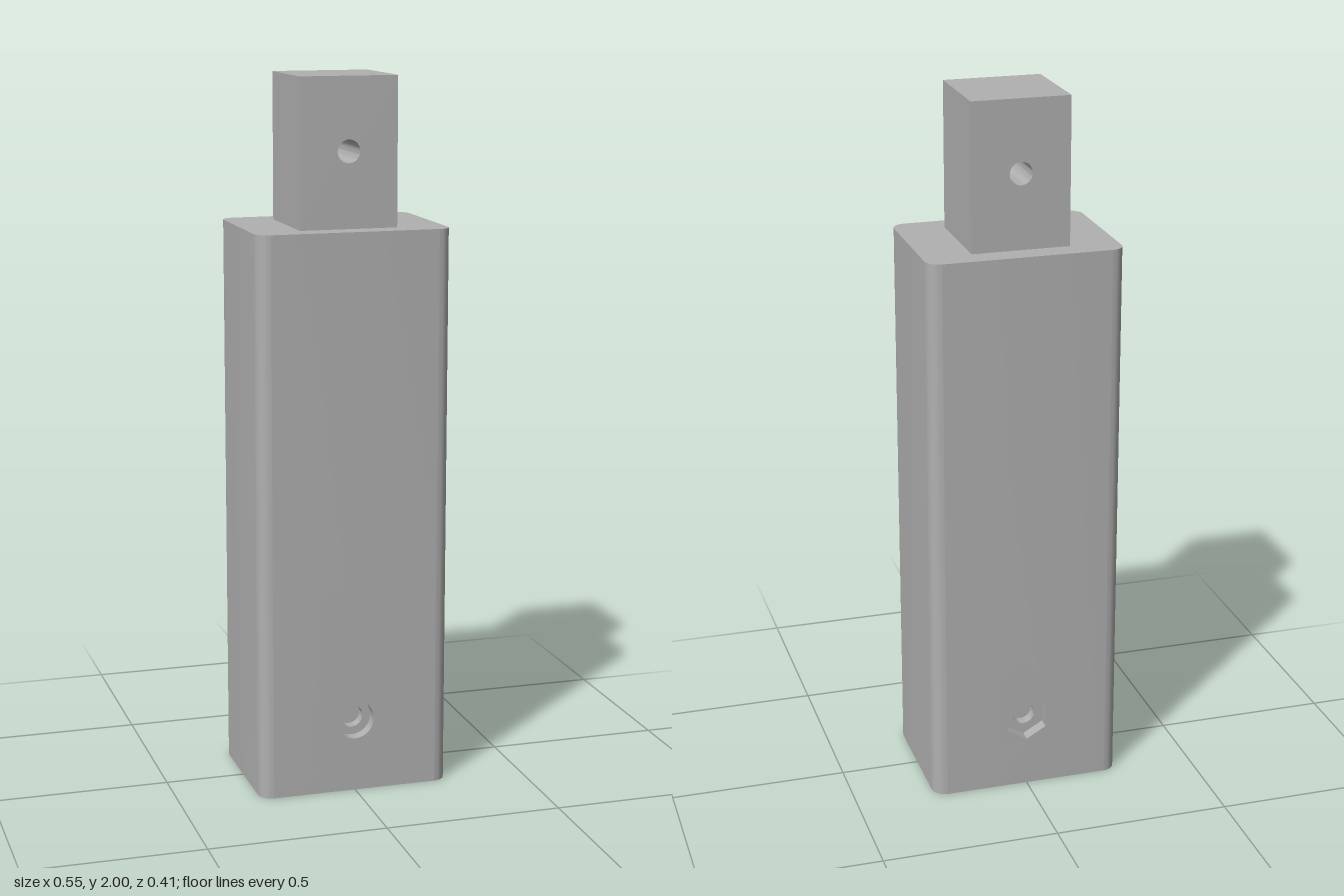
import * as THREE from 'three';
import { mergeGeometries, toCreasedNormals } from 'three/addons/utils/BufferGeometryUtils.js';

const HX = 0.275, HZ = 0.206, R = 0.04; // body half sizes and corner radius
const BODY_TOP = 1.588, TOP = 2;
const PEG = 0.138, SOCKET = 0.14, SOCKET_DEPTH = 0.42;
const BORE = 0.032, LOW_HOLE = 0.208, HIGH_HOLE = 1.798;

const vec = (x, y) => new THREE.Vector2(x, y);

// Regular polygon with a corner at the top; many sides give a circle
function ring(radius, sides, cy) {
  return Array.from({ length: sides }, (_, i) => {
    const a = Math.PI / 2 + (i / sides) * Math.PI * 2;
    return vec(radius * Math.cos(a), cy + radius * Math.sin(a));
  });
}

const rect = (hx, y0, y1) => [vec(-hx, y0), vec(hx, y0), vec(hx, y1), vec(-hx, y1)];

// Flat face in the xy plane, facing +z
function face(outline, holes = [], z = 0) {
  const shape = new THREE.Shape(outline);
  shape.holes = holes.map((h) => new THREE.Path(h));
  const g = new THREE.ShapeGeometry(shape).toNonIndexed();
  g.deleteAttribute('uv');
  return g.translate(0, 0, z);
}

// Wall that follows a counter-clockwise path from z0 to z1
function strip(path, z0, z1, { closed = true, inward = false } = {}) {
  const pos = [];
  const count = closed ? path.length : path.length - 1;
  for (let i = 0; i < count; i++) {
    let a = path[i], b = path[(i + 1) % path.length];
    if (inward) [a, b] = [b, a];
    pos.push(a.x, a.y, z0, b.x, b.y, z0, b.x, b.y, z1, a.x, a.y, z0, b.x, b.y, z1, a.x, a.y, z1);
  }
  const g = new THREE.BufferGeometry();
  g.setAttribute('position', new THREE.Float32BufferAttribute(pos, 3));
  g.computeVertexNormals();
  return g;
}

// Front wall of the body: outer face, recess, bore and socket face
function drilledWall(recess, depth) {
  const bore = ring(BORE, 32, LOW_HOLE);
  const floor = HZ - depth;
  return [
    face(rect(HX - R, 0, BODY_TOP), [recess], HZ),
    strip(recess, floor, HZ, { inward: true }),
    face(recess, [bore], floor),
    strip(bore, SOCKET, floor, { inward: true }),
    face(rect(SOCKET, 0, SOCKET_DEPTH), [bore]).rotateY(Math.PI).translate(0, 0, SOCKET),
  ];
}

function bodyGeometry() {
  // Rounded side path, from the front wall round to the back wall
  const side = [];
  for (const [cy, start] of [[-HZ + R, -Math.PI / 2], [HZ - R, 0]]) {
    for (let i = 0; i <= 10; i++) {
      const a = start + (i / 10) * (Math.PI / 2);
      side.push(vec(HX - R + R * Math.cos(a), cy + R * Math.sin(a)));
    }
  }
  const outline = [...side, ...side.map((p) => vec(-p.x, -p.y))];
  const socket = rect(SOCKET, -SOCKET, SOCKET);
  const parts = [
    ...drilledWall(ring(0.055, 32, LOW_HOLE), 0.035),
    ...drilledWall(ring(0.065, 6, LOW_HOLE), 0.035).map((g) => g.rotateY(Math.PI)),
    face(outline).rotateX(-Math.PI / 2).translate(0, BODY_TOP, 0),
    face(outline, [socket]).rotateX(Math.PI / 2),
    face(socket).rotateX(Math.PI / 2).translate(0, SOCKET_DEPTH, 0),
  ];
  for (const turn of [0, Math.PI]) {
    parts.push(strip(side, 0, BODY_TOP, { closed: false }).rotateX(-Math.PI / 2).rotateY(turn));
    parts.push(face(rect(SOCKET, 0, SOCKET_DEPTH), [], -SOCKET).rotateY(Math.PI / 2 + turn));
  }
  return toCreasedNormals(mergeGeometries(parts), 0.6);
}

function pegGeometry() {
  const bore = ring(BORE, 32, HIGH_HOLE);
  const parts = [
    strip(bore, -PEG, PEG, { inward: true }),
    face(rect(PEG, -PEG, PEG)).rotateX(-Math.PI / 2).translate(0, TOP, 0),
  ];
  for (let i = 0; i < 4; i++) {
    const holes = i % 2 ? [] : [bore];
    parts.push(face(rect(PEG, BODY_TOP, TOP), holes, PEG).rotateY((i * Math.PI) / 2));
  }
  return toCreasedNormals(mergeGeometries(parts), 0.6);
}

export function createModel() {
  const grey = new THREE.MeshStandardMaterial({ color: 0xb0b0b0 });
  grey.name = 'grey';
  const model = new THREE.Group();
  model.name = 'extensionLeg';

  // Rounded body with a square socket underneath
  const body = new THREE.Mesh(bodyGeometry(), grey);
  body.name = 'body';

  // Square peg with a cross bore
  const peg = new THREE.Mesh(pegGeometry(), grey);
  peg.name = 'peg';

  model.add(body, peg);
  return model;
}
